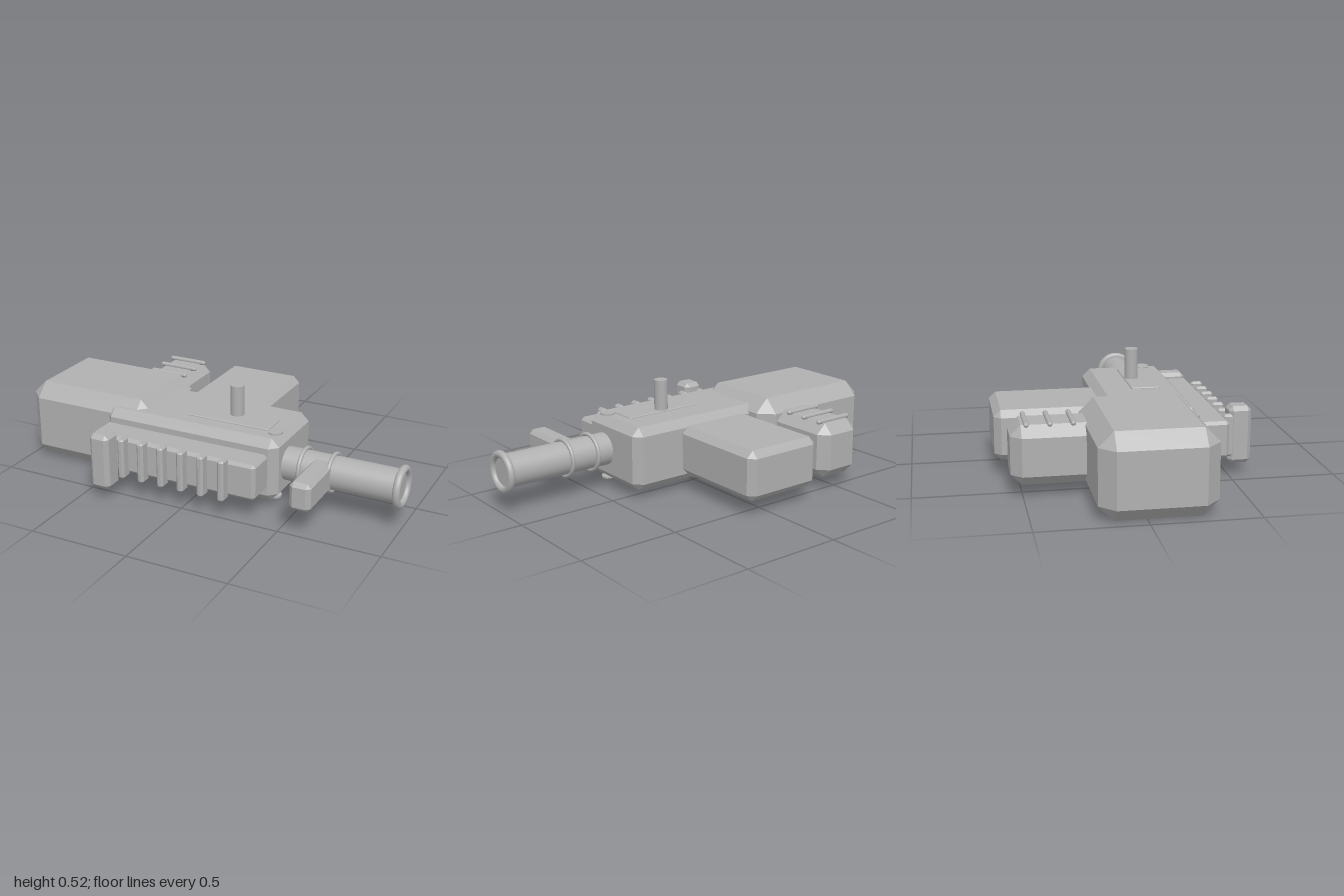
import * as THREE from 'three';
import { ConvexGeometry } from 'three/addons/geometries/ConvexGeometry.js';

export function createModel() {
  const group = new THREE.Group();
  const grey = new THREE.MeshStandardMaterial({ color: 0xb0b0b0 });
  grey.name = 'hull grey';

  const add = (name, geo, x = 0, y = 0, z = 0) => {
    const mesh = new THREE.Mesh(geo, grey);
    mesh.name = name;
    mesh.position.set(x, y, z);
    group.add(mesh);
    return mesh;
  };

  // Box with every edge chamfered by c, given by its extents
  const block = (name, [x0, x1], [y0, y1], [z0, z1], c) => {
    const h = [(x1 - x0) / 2, (y1 - y0) / 2, (z1 - z0) / 2];
    const pts = [];
    for (const sx of [-1, 1]) for (const sy of [-1, 1]) for (const sz of [-1, 1])
      for (let k = 0; k < 3; k++) {
        const r = h.map((v, i) => (i === k ? v : v - c));
        pts.push(new THREE.Vector3(sx * r[0], sy * r[1], sz * r[2]));
      }
    return add(name, new ConvexGeometry(pts), (x0 + x1) / 2, (y0 + y1) / 2, (z0 + z1) / 2);
  };

  const tube = (name, points, r) => add(name, new THREE.TubeGeometry(
    new THREE.CatmullRomCurve3(points.map(p => new THREE.Vector3(...p))), 16, r, 12));

  // Main masses
  block('mainBody', [-0.52, 0.415], [0.04, 0.36], [-0.09, 0.34], 0.04);
  block('sideHull', [-1, -0.29], [0, 0.4], [-0.215, 0.318], 0.07);
  block('rearBlock', [-0.28, 0.14], [0.078, 0.325], [-0.605, 0.02], 0.033);
  block('rearPod', [-0.62, -0.37], [0.06, 0.34], [-0.555, -0.13], 0.05);

  // Rails across the rear pod
  for (const z of [-0.27, -0.376, -0.482]) {
    const rail = add('podRail', new THREE.CapsuleGeometry(0.012, 0.19, 6, 12), -0.495, 0.345, z);
    rail.rotation.z = Math.PI / 2;
  }

  // Hoses behind the hull
  tube('podHose', [[-0.4, 0.2, -0.43], [-0.36, 0.2, -0.447], [-0.32, 0.2, -0.453], [-0.26, 0.2, -0.447]], 0.02);
  tube('hullHose', [[-0.33, 0.2, -0.14], [-0.3, 0.2, -0.2], [-0.25, 0.2, -0.27]], 0.02);

  // Front panel, ribs and handle
  block('frontPanel', [-0.505, 0.372], [0.11, 0.29], [0.32, 0.48], 0.015);
  for (let i = 0; i < 7; i++) {
    const x = -0.423 + i * 0.107;
    block('panelRib', [x - 0.017, x + 0.017], [0.096, 0.304], [0.465, 0.528], 0.01);
  }
  block('frontHandle', [-0.442, -0.338], [0.06, 0.34], [0.495, 0.605], 0.02);

  // Barrel with rings and muzzle lip
  const by = 0.2, bz = 0.195;
  const barrel = add('barrel', new THREE.CylinderGeometry(0.082, 0.082, 0.68, 40), 0.64, by, bz);
  barrel.rotation.z = -Math.PI / 2;
  for (const [name, x, R, r] of [
    ['barrelRing', 0.505, 0.09, 0.01],
    ['barrelRing', 0.65, 0.09, 0.01],
    ['muzzleLip', 0.982, 0.086, 0.018],
  ]) {
    const ring = add(name, new THREE.TorusGeometry(R, r, 14, 40), x, by, bz);
    ring.rotation.y = Math.PI / 2;
  }
  block('barrelGrip', [0.555, 0.66], [0.13, 0.27], [0.2, 0.515], 0.02);

  // Top plate, post and small corner discs
  block('topPlate', [-0.1, 0.325], [0.352, 0.367], [0.088, 0.23], 0.004);
  add('topPost', new THREE.CylinderGeometry(0.034, 0.034, 0.18, 28), 0.112, 0.43, 0.125);
  for (const s of [-1, 1]) {
    const disc = add('cornerDisc', new THREE.CylinderGeometry(0.035, 0.035, 0.01, 28), 0.365, 0.2 + s * 0.163, 0.232);
    disc.rotation.z = s * 0.08;
  }

  return group;
}
